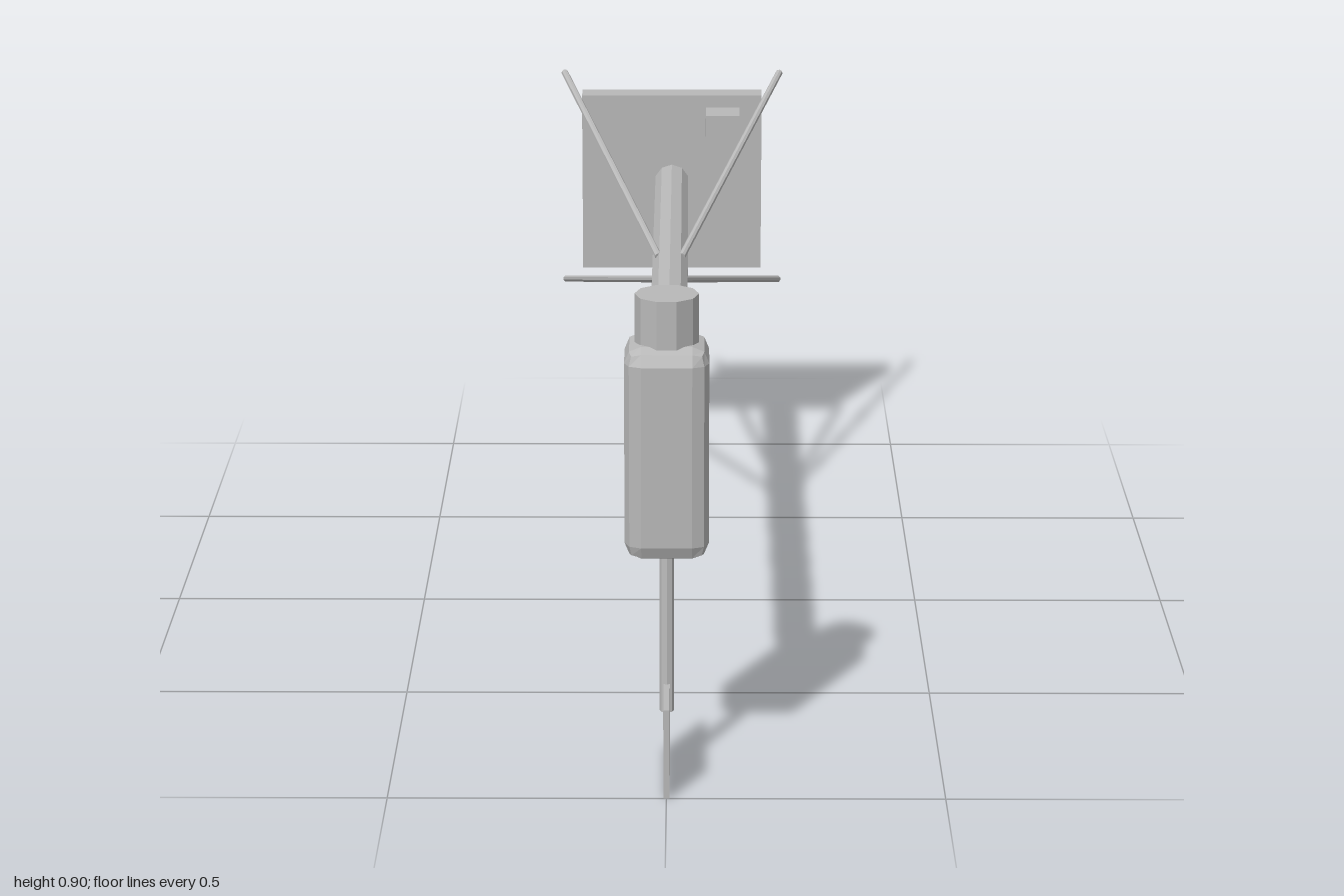
import * as THREE from 'three';
import { RoundedBoxGeometry } from 'three/addons/geometries/RoundedBoxGeometry.js';

const grey = new THREE.MeshStandardMaterial({ color: 0xb8b8b8, flatShading: true });
grey.name = 'plain grey';

export function createModel() {
  const model = new THREE.Group();
  model.name = 'boomInstrument';

  function add(name, geometry, x = 0, y = 0, z = 0) {
    const mesh = new THREE.Mesh(geometry, grey);
    mesh.name = name;
    mesh.position.set(x, y, z);
    model.add(mesh);
    return mesh;
  }

  // Straight rod between two points
  function rod(name, from, to, radius, sides) {
    const a = new THREE.Vector3(...from), b = new THREE.Vector3(...to);
    const dir = b.clone().sub(a);
    const mesh = add(name, new THREE.CylinderGeometry(radius, radius, dir.length(), sides));
    mesh.position.copy(a).add(b).multiplyScalar(0.5);
    mesh.quaternion.setFromUnitVectors(new THREE.Vector3(0, 1, 0), dir.normalize());
    return mesh;
  }

  // Front housing with chamfered edges and a ten-sided cap
  add('housing', new RoundedBoxGeometry(0.15, 0.395, 0.15, 1, 0.03), 0, 0.615, 0.847);
  add('cap', new THREE.CylinderGeometry(0.057, 0.057, 0.1, 10), 0, 0.847, 0.847)
    .rotation.y = Math.PI / 10;

  // Long boom to the rear panel
  rod('boom', [0, 0.635, 0.8], [0, 0.635, -0.945], 0.038, 10);

  // Rear panel and the small box on its front face
  add('rearPanel', new THREE.BoxGeometry(0.397, 0.395, 0.056), 0, 0.633, -0.972);
  add('panelBox', new THREE.BoxGeometry(0.074, 0.058, 0.078), 0.112, 0.774, -0.904);

  // Four struts splaying back from the boom
  for (const sx of [-1, 1]) {
    for (const sy of [-1, 1]) {
      rod('strut', [sx * 0.024, 0.635 + sy * 0.024, -0.24],
        [sx * 0.238, 0.632 + sy * 0.238, -0.998], 0.0075, 8);
    }
  }

  // Hanging stem and fin
  rod('stem', [0, 0.45, 0.847], [0, 0.116, 0.868], 0.013, 8);
  add('fin', new THREE.BoxGeometry(0.011, 0.17, 0.225), 0, 0.085, 0.8875);

  return model;
}
